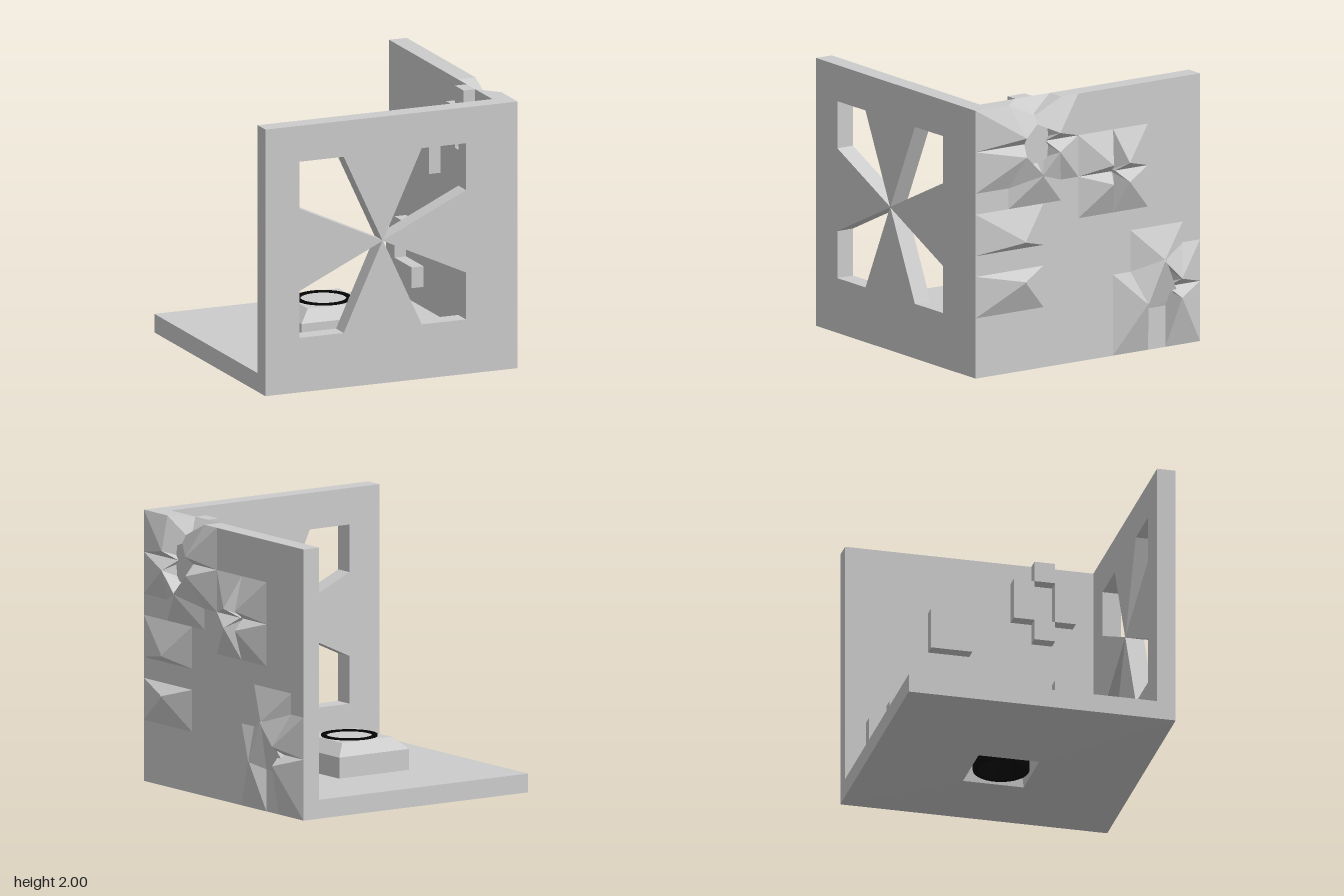
import * as THREE from 'three';

const S = 0.14687, T = 0.132, N = 12;           // grid step, shell thickness, cells per wall
const X0 = -1, Y0 = 0.2375, Z0 = -0.947;        // inner corner ranges start here
const X1 = X0 + N * S, Z1 = Z0 + N * S, H = 0.088;

const grey = new THREE.MeshStandardMaterial({ color: 0xcccccc, flatShading: true, side: THREE.DoubleSide });
grey.name = 'light grey';
const black = new THREE.MeshStandardMaterial({ color: 0x050505, side: THREE.DoubleSide });
black.name = 'black';

function mesh(name, geometry, material) {
  const m = new THREE.Mesh(geometry, material);
  m.name = name;
  return m;
}

function fromTriangles(points) {
  const g = new THREE.BufferGeometry().setFromPoints(points);
  g.computeVertexNormals();
  return g;
}

// Raised cells [z index, y index] on the inside of the side wall
const cells = [
  [4, 7], [5, 7], [4, 8], [5, 8],                          // square
  [10, 3], [10, 4], [10, 5],                               // bar
  [8, 9], [8, 10], [10, 9], [10, 10], [9, 8], [9, 11],     // ring
  [1, 1], [2, 1], [3, 1], [1, 2], [2, 3],                  // hook
];

// Side wall: stepped inner skin, offset outward by a constant thickness so the outside crumples into spikes
function sideWallGeometry() {
  const raised = new Set(cells.map(String));
  const verts = new Map(), quads = [], edges = new Map(), out = [];
  const vert = (i, j, l) => {
    const key = `${i},${j},${l}`;
    if (!verts.has(key)) {
      verts.set(key, { key, i, j, p: new THREE.Vector3(X1 - l * H, Y0 + j * S, Z0 + i * S), normals: [] });
    }
    return verts.get(key);
  };
  const addQuad = (q) => {
    const n = q[1].p.clone().sub(q[0].p).cross(q[2].p.clone().sub(q[1].p)).normalize();
    q.forEach((v, k) => {
      v.normals.push(n);
      const w = q[(k + 1) % 4], id = [v.key, w.key].sort().join('|');
      if (!edges.has(id)) edges.set(id, []);
      edges.get(id).push([v, w]);
    });
    quads.push(q);
  };

  for (let i = 0; i < N; i++) for (let j = 0; j < N; j++) {
    const up = raised.has(`${i},${j}`) ? 1 : 0;
    const c = [[i, j], [i + 1, j], [i + 1, j + 1], [i, j + 1]];
    addQuad(c.map(([a, b]) => vert(a, b, up)));
    if (!up) continue;
    [[0, -1], [1, 0], [0, 1], [-1, 0]].forEach(([di, dj], k) => {
      if (raised.has(`${i + di},${j + dj}`)) return;
      const a = c[k], b = c[(k + 1) % 4];
      addQuad([vert(...b, 1), vert(...a, 1), vert(...a, 0), vert(...b, 0)]);
    });
  }

  // Even-thickness offset along the mean normal
  for (const v of verts.values()) {
    const n = v.normals.reduce((s, m) => s.add(m), new THREE.Vector3()).normalize();
    const stretch = v.normals.reduce((s, m) => {
      const cos = Math.abs(n.dot(m));
      return s + (cos < 0.2 ? 1 : 1 / cos);
    }, 0) / v.normals.length;
    v.o = v.p.clone().addScaledVector(n, -T * stretch);
    if (v.i === N) v.o.z += T;
    if (v.j === 0) v.o.y -= T;
  }

  for (const [a, b, c, d] of quads) {
    out.push(a.p, b.p, c.p, a.p, c.p, d.p);
    // split outer quads along the diagonal that bulges outward
    if (a.o.x + c.o.x >= b.o.x + d.o.x) out.push(a.o, c.o, b.o, a.o, d.o, c.o);
    else out.push(b.o, a.o, d.o, b.o, d.o, c.o);
  }
  for (const list of edges.values()) {
    if (list.length !== 1) continue;
    const [a, b] = list[0];
    out.push(b.p, a.p, a.o, b.p, a.o, b.o);
  }
  return fromTriangles(out);
}

// Front wall with four kite-like cut-outs meeting at the centre
function frontWallGeometry() {
  const cx = X0 + 6 * S, cy = Y0 + 6 * S, R = 0.626, r = 0.293, e = 0.003;
  const x1 = X1 + T, y0 = Y0 - T;
  const shape = new THREE.Shape([[X0, y0], [x1, y0], [x1, 2], [X0, 2]].map((p) => new THREE.Vector2(...p)));
  for (const sx of [-1, 1]) for (const sy of [-1, 1]) {
    const pts = [[e, e], [R, r], [R, R], [r, R]].map(([x, y]) => new THREE.Vector2(cx + sx * x, cy + sy * y));
    shape.holes.push(new THREE.Path(pts));
  }
  return new THREE.ExtrudeGeometry(shape, { depth: T, bevelEnabled: false }).translate(0, 0, Z1);
}

// Floor: rectangles lofted from the recess underneath, round the rim, up to the pedestal top
function floorGeometry() {
  const cx = X0 + 6 * S, cz = Z0 + 6 * S;
  const square = (h, y) => [cx - h, cx + h, cz - h, cz + h, y];
  const rings = [
    square(0.155, 0.34), square(0.165, 0.33), square(0.215, 0),
    [X0, X1 + T, Z0, Z1 + T, Y0 - T], [X0, X1, Z0, Z1, Y0],
    square(2 * S, Y0), square(2 * S, Y0 + S), square(0.21, 0.465),
  ].map(([a, b, c, d, y]) => [[a, c], [a, d], [b, d], [b, c]].map(([x, z]) => new THREE.Vector3(x, y, z)));
  const out = [];
  const quad = (a, b, c, d) => out.push(a, b, c, a, c, d);
  for (let k = 0; k < rings.length - 1; k++) {
    for (let s = 0; s < 4; s++) {
      const t = (s + 1) % 4;
      quad(rings[k][s], rings[k][t], rings[k + 1][t], rings[k + 1][s]);
    }
  }
  quad(...[...rings[0]].reverse());
  quad(...rings[rings.length - 1]);
  return fromTriangles(out);
}

// Black tube standing through the pedestal
function tubeGeometry() {
  const profile = [[0.16, 0.01], [0.195, 0.01], [0.195, 0.475], [0.16, 0.475], [0.16, 0.01]];
  return new THREE.LatheGeometry(profile.map((p) => new THREE.Vector2(...p)), 48)
    .translate(X0 + 6 * S, 0, Z0 + 6 * S);
}

export function createModel() {
  const group = new THREE.Group();
  group.name = 'cornerRoom';
  group.add(
    mesh('sideWall', sideWallGeometry(), grey),
    mesh('frontWall', frontWallGeometry(), grey),
    mesh('floorWithPedestal', floorGeometry(), grey),
    mesh('pedestalTube', tubeGeometry(), black),
  );
  return group;
}
